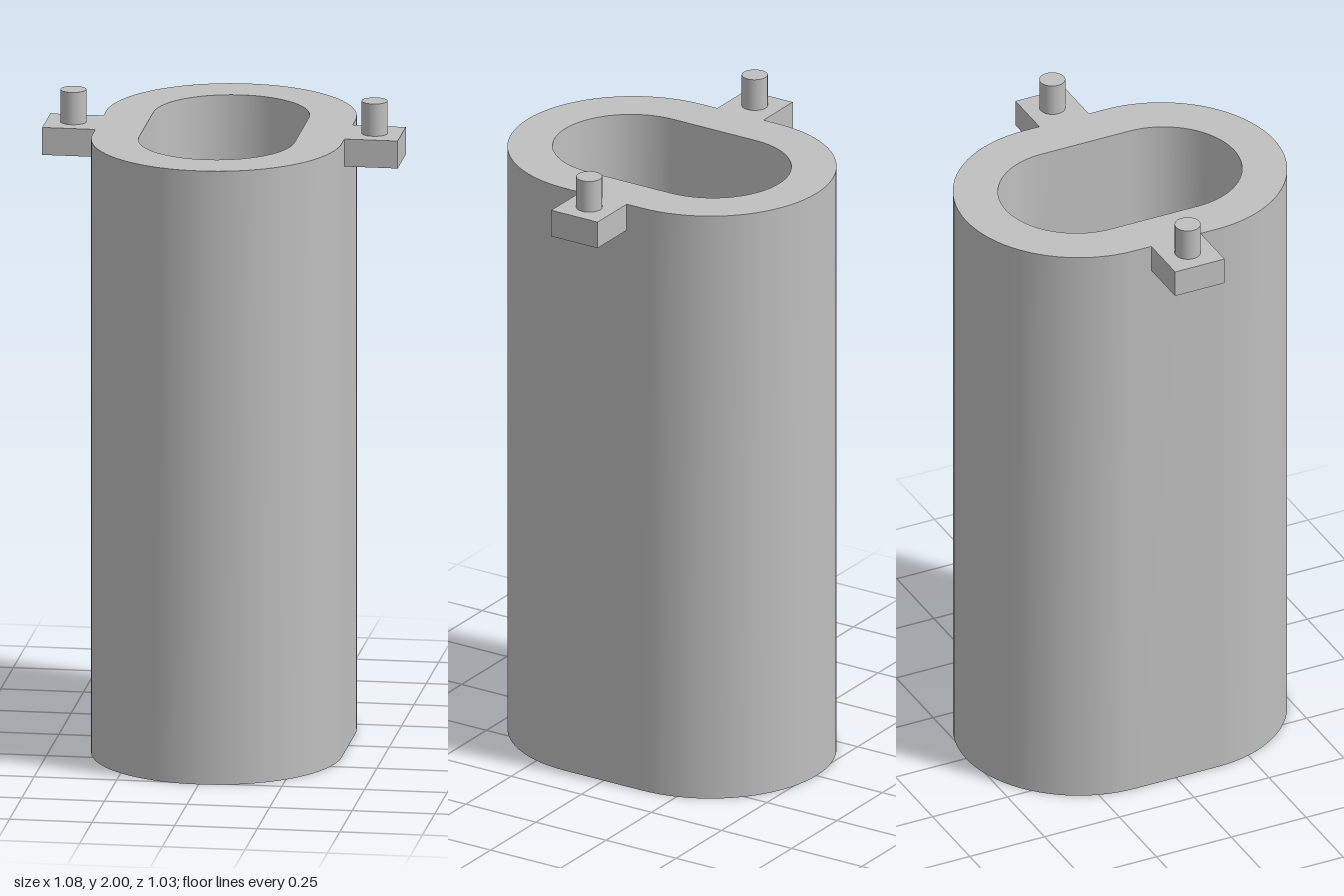
import * as THREE from 'three';

const ARC = 40; // segments per half circle

// Lofts slot-shaped rings [radius, halfStraight, y]; normals are smooth within one strip
function slotLoft(rings) {
  const positions = [];
  const index = [];
  const n = 2 * (ARC + 1);
  for (const [r, h, y] of rings) {
    for (let half = 0; half < 2; half++) {
      for (let i = 0; i <= ARC; i++) {
        const a = Math.PI * (half + i / ARC);
        positions.push(r * Math.cos(a), y, r * Math.sin(a) + (half ? -h : h));
      }
    }
  }
  for (let k = 0; k < rings.length - 1; k++) {
    for (let i = 0; i < n; i++) {
      const a = k * n + i;
      const b = k * n + (i + 1) % n;
      index.push(a, a + n, b, b, a + n, b + n);
    }
  }
  const geometry = new THREE.BufferGeometry();
  geometry.setAttribute('position', new THREE.Float32BufferAttribute(positions, 3));
  geometry.setIndex(index);
  geometry.computeVertexNormals();
  return geometry;
}

export function createModel() {
  const model = new THREE.Group();
  model.name = 'slottedSleeve';
  const grey = new THREE.MeshStandardMaterial({ color: 0xbfbfbf });
  grey.name = 'grey';

  const add = (name, geometry, x = 0, y = 0) => {
    const mesh = new THREE.Mesh(geometry, grey);
    mesh.name = name;
    mesh.position.set(x, y, 0);
    model.add(mesh);
  };

  const top = 1.9;
  const floorY = 0.14;
  const fillet = 0.05;
  const outerR = 0.377, outerH = 0.138;
  const mouthR = 0.235, baseR = 0.212, innerH = 0.146;

  // Outer shell
  add('bottomFace', slotLoft([[0, outerH, 0], [outerR, outerH, 0]]));
  add('outerWall', slotLoft([[outerR, outerH, 0], [outerR, outerH, top]]));
  add('rim', slotLoft([[outerR, outerH, top], [mouthR, innerH, top]]));

  // Tapered pocket with a rounded lower edge
  const pocket = [[mouthR, innerH, top]];
  for (let i = 0; i <= 10; i++) {
    const a = (i / 10) * Math.PI / 2;
    pocket.push([
      baseR - fillet * (1 - Math.cos(a)),
      innerH,
      floorY + fillet * (1 - Math.sin(a)),
    ]);
  }
  add('pocketWall', slotLoft(pocket));
  add('pocketFloor', slotLoft([[baseR - fillet, innerH, floorY], [0, innerH, floorY]]));

  // Side lugs with upright pegs
  const lugEnd = 0.538, lugHeight = 0.085;
  for (const [side, s] of [['left', 1], ['right', -1]]) {
    add(side + 'Lug', new THREE.BoxGeometry(lugEnd - outerR, lugHeight, 0.165),
      s * (lugEnd + outerR) / 2, top - lugHeight / 2);
    add(side + 'Peg', new THREE.CylinderGeometry(0.039, 0.039, 0.1, 40), s * 0.456, top + 0.05);
  }
  return model;
}
